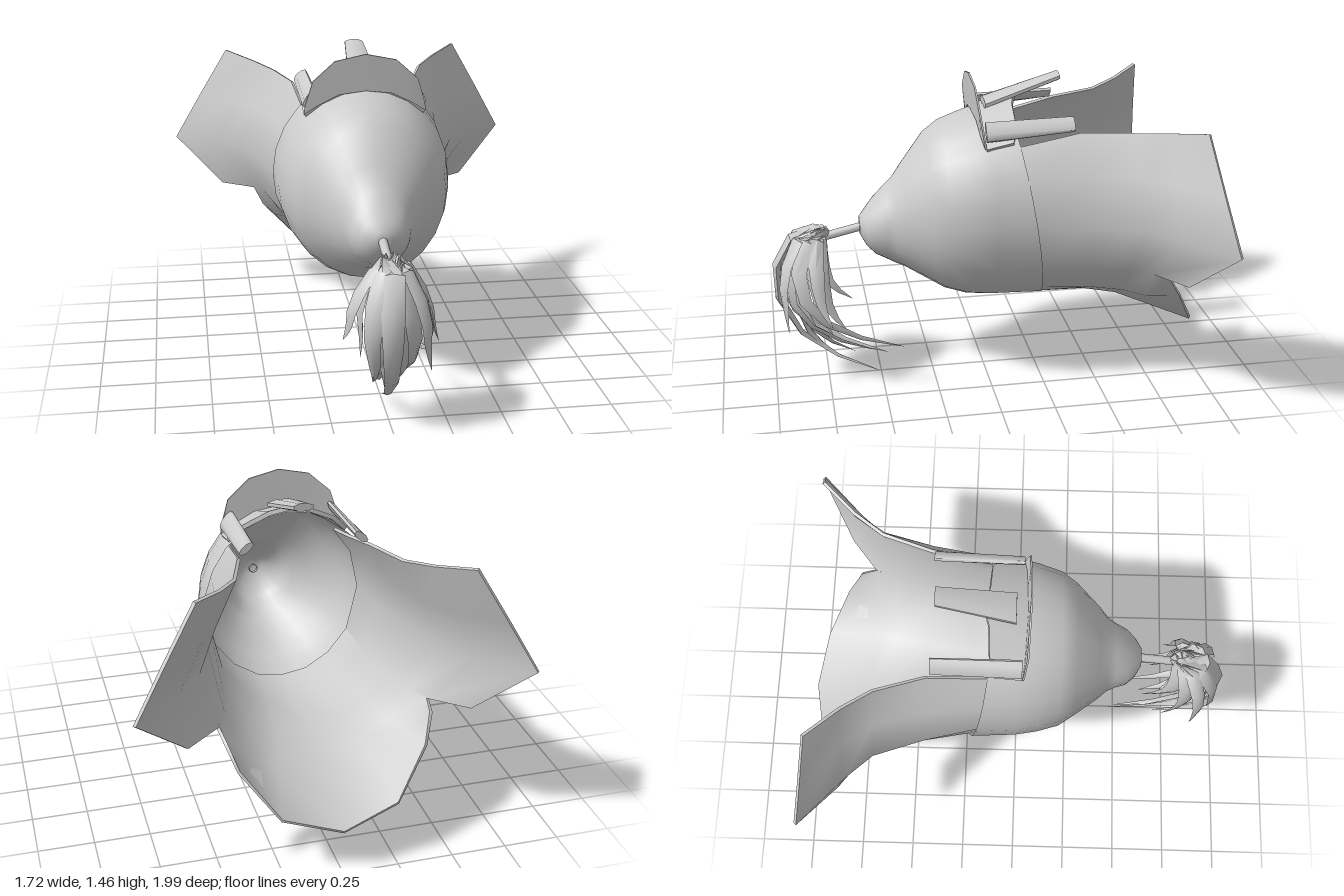
import * as THREE from 'three';
import { mergeGeometries, mergeVertices, toCreasedNormals } from 'three/addons/utils/BufferGeometryUtils.js';

const material = new THREE.MeshStandardMaterial({ color: 0xcccccc, side: THREE.DoubleSide });
const V = (x, y, z) => new THREE.Vector3(x, y, z);

// Skin a grid of points; rows may be closed into rings.
function loft(rows, closed = false) {
  const n = rows[0].length, index = [];
  for (let i = 0; i < rows.length - 1; i++)
    for (let j = 0; j < (closed ? n : n - 1); j++) {
      const k = (j + 1) % n, a = i * n + j, b = i * n + k, c = a + n, d = b + n;
      index.push(a, b, c, b, d, c);
    }
  const g = new THREE.BufferGeometry().setFromPoints(rows.flat());
  g.setIndex(index);
  g.computeVertexNormals();
  return g;
}

// Give an open grid a thickness toward the helmet's centre line, with closed edges.
function shell(rows, t) {
  const n = rows[0].length;
  const normals = loft(rows).attributes.normal;
  const rings = rows.map((row, i) => {
    const inner = row.map((p, j) => {
      const m = new THREE.Vector3().fromBufferAttribute(normals, i * n + j);
      if (m.dot(V(-p.x, 0.87 - p.y, 0)) < 0) m.negate();
      return p.clone().addScaledVector(m, t);
    });
    return [...row, ...inner.reverse()];
  });
  const cap = ring => ring.map((p, j) => p.clone().lerp(ring[2 * n - 1 - j], 0.5));
  return loft([cap(rings[0]), ...rings, cap(rings[rings.length - 1])], true);
}

function add(parent, name, geometry) {
  const mesh = new THREE.Mesh(geometry, material);
  mesh.name = name;
  parent.add(mesh);
  return mesh;
}

const points = list => list.map(p => V(...p));
const mirror = row => row.map(p => V(-p.x, p.y, p.z));

// Tapered, rounded bar between two points; each end is [point, half width, half height, tilt]
function bar(...ends) {
  const rings = ends.map(([p, w, h, tilt]) => Array.from({ length: 8 }, (_, j) => {
    const a = (j + 0.5) / 8 * Math.PI * 2;
    return V(w * 1.08 * Math.cos(a), h * 1.08 * Math.sin(a), 0).applyAxisAngle(V(0, 0, 1), tilt).add(p);
  }));
  const tips = ends.map(([p]) => Array(8).fill(p));
  return toCreasedNormals(loft([tips[0], ...rings, tips[1]], true), 1);
}

// Flattened lock of hair tapering to a point along a curve
function lock(path, width) {
  const curve = new THREE.CatmullRomCurve3(path), profile = [0.25, 0.7, 1, 1, 0.85, 0.6, 0.3, 0.01];
  const rows = profile.map((s, i) => {
    const u = i / (profile.length - 1), p = curve.getPoint(u), t = curve.getTangent(u);
    const outward = V(path[2].x, 0, path[2].z - 0.78).normalize();
    const side = new THREE.Vector3().crossVectors(t, outward).normalize();
    const depth = new THREE.Vector3().crossVectors(side, t).normalize();
    return [[1, 0], [0, 0.4], [-1, 0], [0, -0.4]].map(([a, b]) =>
      p.clone().addScaledVector(side, a * s * width).addScaledVector(depth, b * s * width));
  });
  return toCreasedNormals(loft(rows, true), 0.9);
}

export function createModel() {
  const model = new THREE.Group();
  model.name = 'helmet';

  // Bowl: elliptical sections as [z, centre y, half width, half height], with a blunt nub in front
  const sections = [
    [0.58, 0.775, 0.001, 0.001], [0.58, 0.775, 0.045, 0.04], [0.55, 0.765, 0.095, 0.088], [0.51, 0.77, 0.13, 0.135],
    [0.46, 0.782, 0.147, 0.175], [0.42, 0.79, 0.168, 0.205], [0.38, 0.81, 0.21, 0.242], [0.27, 0.85, 0.3, 0.35],
    [0.2, 0.853, 0.35, 0.397], [0.1, 0.855, 0.38, 0.432], [0, 0.865, 0.4, 0.453], [-0.175, 0.868, 0.412, 0.463],
  ];
  const sides = 24;
  const bowlRows = sections.map(([z, cy, rx, ry], i) => Array.from({ length: sides }, (_, j) => {
    const a = j / sides * Math.PI * 2;
    const slant = i === sections.length - 1 ? 0.075 * Math.sin(a) : 0;
    return V(rx * Math.cos(a), cy + ry * Math.sin(a), z + slant);
  }));
  add(model, 'bowl', mergeVertices(loft(bowlRows, true)));

  // Cheek flap: rows from the upper edge down to the neck guard, starting inside the bowl
  const seam = [[0.335, 0.645, 0.02], [0.35, 0.637, -0.2], [0.4, 0.64, -0.45], [0.43, 0.64, -0.6], [0.475, 0.635, -0.69]];
  const flap = [
    [[0.26, 1.18, 0.02], [0.278, 1.205, -0.13], [0.3, 1.26, -0.38], [0.37, 1.27, -0.6], [0.46, 1.29, -0.73], [0.59, 1.32, -0.87]],
    [[0.345, 1.06, 0.02], [0.366, 1.065, -0.15], [0.4, 1.08, -0.39], [0.465, 1.075, -0.62], [0.55, 1.08, -0.75], [0.73, 1.08, -0.91]],
    [[0.385, 0.87, 0.02], [0.403, 0.87, -0.17], [0.46, 0.87, -0.4], [0.54, 0.87, -0.63], [0.65, 0.86, -0.755], [0.86, 0.85, -0.95]],
    [...seam, [0.63, 0.63, -0.81]],
  ].map(points);

  // Neck guard: half given from the side to the middle, then mirrored
  const half = [
    [...seam, [0.465, 0.61, -0.77]],
    [[0.24, 0.525, 0.02], [0.25, 0.508, -0.22], [0.29, 0.51, -0.45], [0.33, 0.5, -0.6], [0.37, 0.48, -0.7], [0.42, 0.49, -0.84]],
    [[0.125, 0.452, 0.02], [0.13, 0.435, -0.23], [0.16, 0.445, -0.45], [0.19, 0.425, -0.6], [0.22, 0.39, -0.7], [0.26, 0.29, -0.95]],
  ].map(points);
  const middle = points([[0, 0.43, 0.02], [0, 0.41, -0.235], [0, 0.43, -0.45], [0, 0.4, -0.6], [0, 0.37, -0.7], [0, 0.22, -1]]);

  // Joined so the flaps run smoothly into the guard along their shared seams
  const skirt = mergeGeometries([
    shell(flap, 0.015),
    shell([...half, middle, ...half.map(mirror).reverse()], 0.015),
    shell(flap.map(mirror).reverse(), 0.015),
  ]);
  add(model, 'cheekFlapsAndNeckGuard', toCreasedNormals(skirt, 0.9));

  // Brow: upright peak with a bridge running back over the face opening
  const brow = new THREE.Group();
  brow.name = 'brow';
  model.add(brow);
  const browHalf = [
    [[0.28, 1.2, 0.03], [0.275, 1.24, 0.035], [0.28, 1.225, -0.09]],
    [[0.22, 1.24, 0.04], [0.24, 1.355, 0.05], [0.21, 1.295, -0.11]],
    [[0.12, 1.29, 0.045], [0.14, 1.445, 0.055], [0.09, 1.35, -0.115]],
  ].map(points);
  const browMid = points([[0, 1.305, 0.05], [0, 1.475, 0.06], [0, 1.375, -0.14]]);
  const browRows = [...browHalf, browMid, ...browHalf.map(mirror).reverse()];
  const browPart = (column, t) => toCreasedNormals(shell(browRows.map(r => [r[0], r[column]]), t), 0.9);
  add(brow, 'peak', browPart(1, 0.008));
  add(brow, 'bridge', browPart(2, 0.02));
  add(brow, 'noseBar', bar([V(0, 1.335, 0), 0.07, 0.02, 0], [V(0, 1.445, -0.345), 0.043, 0.018, 0]));
  for (const s of [1, -1])
    add(brow, s > 0 ? 'leftBrowBar' : 'rightBrowBar',
      bar([V(s * 0.253, 1.27, 0.03), 0.045, 0.016, -s * 0.95], [V(s * 0.256, 1.29, -0.365), 0.036, 0.016, -s * 0.7]));

  // Plume holder
  const rod = new THREE.LineCurve3(V(0, 0.77, 0.56), V(0, 0.73, 0.74));
  add(model, 'plumeHolder', new THREE.TubeGeometry(rod, 1, 0.021, 8));

  // Plume: each lock as [outermost x, y, z], [tip x, y, z], width
  const plume = new THREE.Group();
  plume.name = 'plume';
  model.add(plume);
  const locks = [
    [[-0.02, 0.52, 0.98], [0.01, 0.012, 0.5], 0.05],
    [[-0.06, 0.5, 0.93], [-0.03, 0.09, 0.46], 0.045],
    [[0.08, 0.5, 0.92], [0.1, 0.17, 0.52], 0.045],
    [[0.15, 0.53, 0.87], [0.18, 0.22, 0.4], 0.04],
    [[-0.1, 0.54, 0.95], [-0.06, 0.16, 0.68], 0.045],
    [[0.06, 0.45, 0.87], [0.05, 0.15, 0.62], 0.05],
    [[-0.02, 0.42, 0.88], [0.0, 0.1, 0.68], 0.05],
    [[-0.17, 0.6, 0.87], [-0.21, 0.44, 0.84], 0.035],
    [[-0.13, 0.6, 0.81], [-0.12, 0.3, 0.72], 0.04],
    [[0.16, 0.58, 0.79], [0.22, 0.36, 0.73], 0.035],
    [[0.1, 0.58, 0.77], [0.13, 0.3, 0.66], 0.04],
    [[-0.07, 0.58, 0.76], [-0.05, 0.38, 0.62], 0.04],
    [[0.12, 0.57, 0.94], [0.15, 0.32, 0.93], 0.035],
    [[0.02, 0.56, 0.8], [0.03, 0.22, 0.72], 0.05],
  ];
  locks.forEach(([o, tip, width], i) => {
    const out = V(...o), end = V(...tip);
    const crest = V(out.x * 0.38, 0.752, 0.76 + (out.z - 0.76) * 0.5);
    const fall = V((out.x + end.x) / 2, out.y * 0.38 + end.y * 0.62, out.z * 0.7 + end.z * 0.3);
    add(plume, 'lock' + (i + 1), lock([V(0, 0.735, 0.715), crest, out, fall, end], width));
  });

  return model;
}
